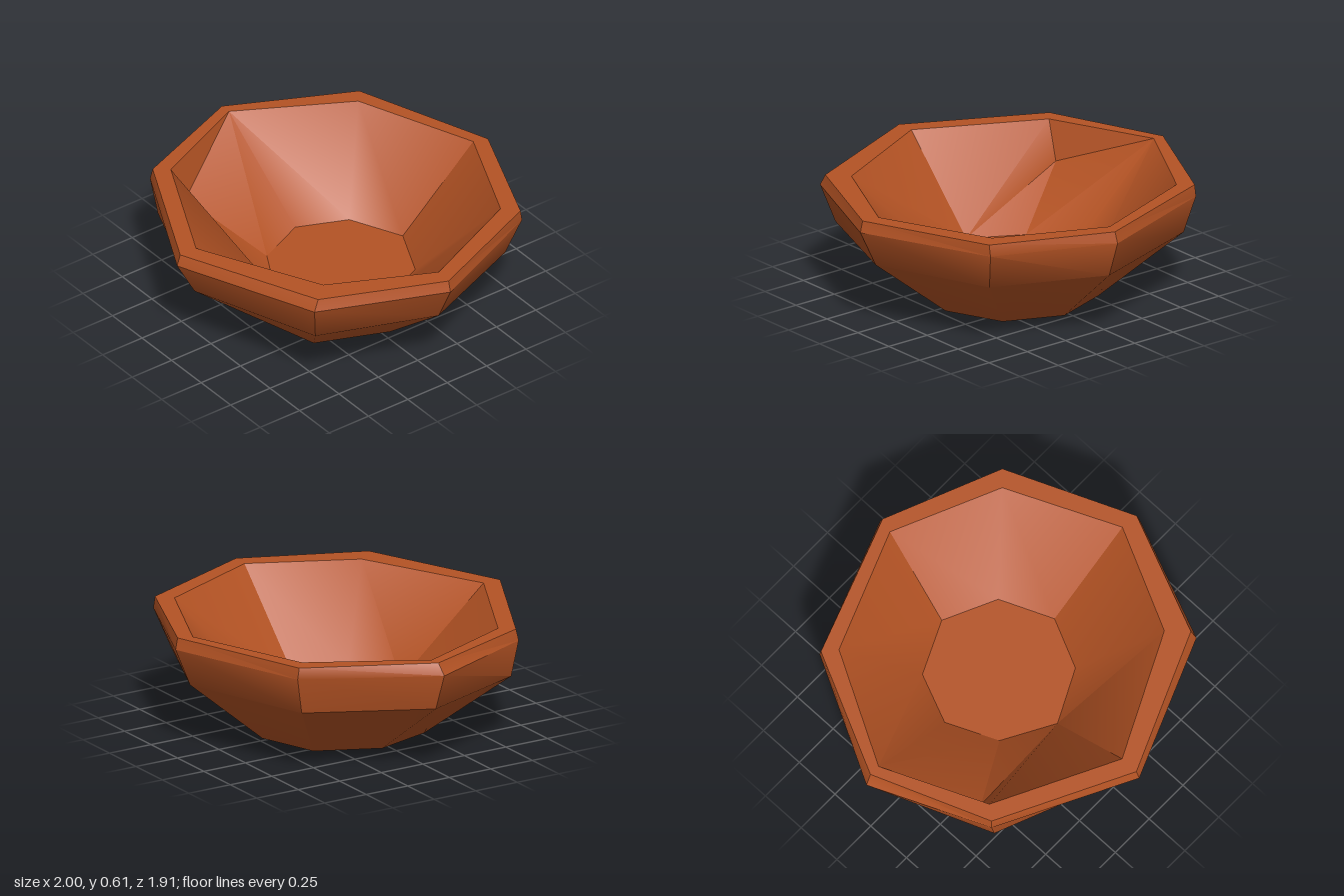
import * as THREE from 'three';
import { toCreasedNormals } from 'three/addons/utils/BufferGeometryUtils.js';

// Hand-shaped eight-sided rings: a height and x, z pairs running from +x towards +z
const ring = (y, pairs) => pairs.map(([x, z]) => [x, y, z]);
const base = ring(0, [[0.46, -0.04], [0.31, 0.33], [-0.02, 0.39], [-0.34, 0.27], [-0.43, -0.04], [-0.28, -0.36], [0.03, -0.47], [0.33, -0.34]]);
const belly = ring(0.35, [[0.9, -0.02], [0.67, 0.59], [-0.02, 0.84], [-0.69, 0.57], [-0.92, -0.03], [-0.61, -0.64], [0.07, -0.88], [0.65, -0.63]]);
const wide = ring(0.55, [[1, -0.02], [0.73, 0.64], [-0.02, 0.95], [-0.73, 0.59], [-1, -0.03], [-0.65, -0.69], [0.08, -0.96], [0.7, -0.7]]);
const rimOuter = ring(0.61, [[0.985, -0.02], [0.72, 0.61], [-0.02, 0.93], [-0.72, 0.58], [-0.96, -0.04], [-0.65, -0.68], [0.085, -0.945], [0.7, -0.69]]);
const rimInner = ring(0.61, [[0.89, -0.03], [0.63, 0.51], [-0.02, 0.83], [-0.66, 0.51], [-0.9, -0.04], [-0.58, -0.62], [0.06, -0.87], [0.625, -0.62]]);
const floorRing = ring(0.17, [[0.41, -0.05], [0.29, 0.21], [0.01, 0.35], [-0.26, 0.2], [-0.38, -0.07], [-0.27, -0.33], [0.01, -0.46], [0.29, -0.33]]);
const dent = [-0.64, 0.41, 0.43];

// One quad of wall between two rings, as two triangles
function panel(a, b, i) {
  const j = (i + 1) % a.length;
  return [a[i], b[i], b[j], a[i], b[j], a[j]];
}

const band = (a, b) => a.flatMap((_, i) => panel(a, b, i));

// Flat fan closing a ring
function cap(r, up) {
  const tris = [];
  for (let i = 1; i < r.length - 1; i++) tris.push(r[0], ...(up ? [r[i + 1], r[i]] : [r[i], r[i + 1]]));
  return tris;
}

// Inner wall, with a dented corner at the front right
function innerWall() {
  const l = rimInner, f = floorRing, tris = [];
  for (let i = 0; i < l.length; i++) if (i !== 2 && i !== 3) tris.push(...panel(l, f, i));
  tris.push(
    l[2], f[2], l[3],
    l[3], f[2], dent,
    dent, f[2], f[3],
    dent, f[3], l[4],
    f[3], f[4], l[4],
    l[3], dent, l[4],
  );
  return tris;
}

export function createModel() {
  const model = new THREE.Group();
  model.name = 'bowl';
  const clay = new THREE.MeshStandardMaterial({ color: 0xb45324 });
  clay.name = 'terracotta';

  const add = (name, tris) => {
    const geometry = new THREE.BufferGeometry();
    geometry.setAttribute('position', new THREE.Float32BufferAttribute(tris.flat(), 3));
    const mesh = new THREE.Mesh(toCreasedNormals(geometry, 0.55), clay);
    mesh.name = name;
    model.add(mesh);
  };

  add('outerWall', [...band(base, belly), ...band(belly, wide), ...band(wide, rimOuter)]);
  add('rim', band(rimOuter, rimInner));
  add('innerWall', innerWall());
  add('innerFloor', cap(floorRing, true));
  add('underside', cap(base, false));
  return model;
}
